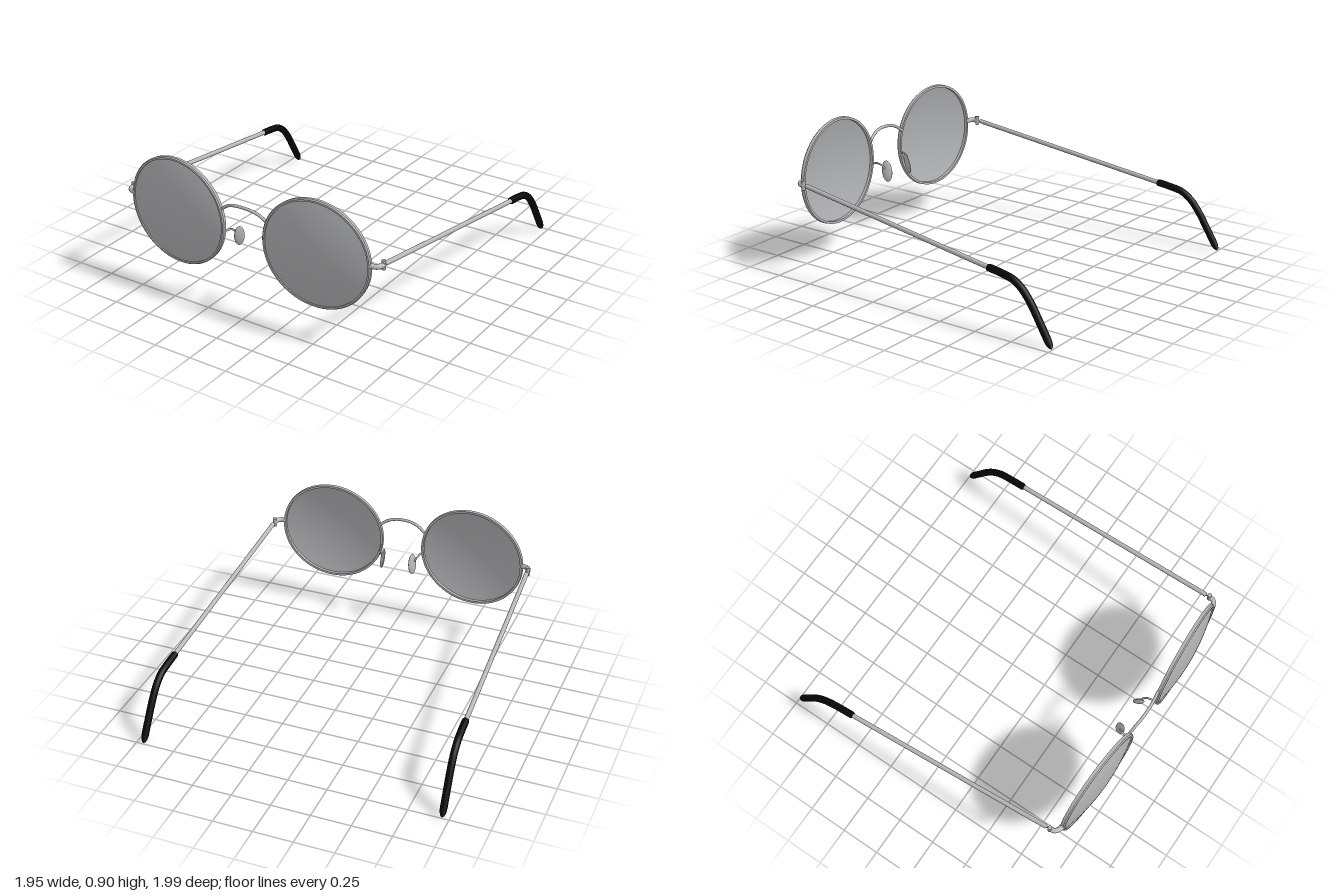
import * as THREE from 'three';
import { toCreasedNormals } from 'three/addons/utils/BufferGeometryUtils.js';

const V = (x, y, z) => new THREE.Vector3(x, y, z);

// Tube along smooth points whose radius is scaled by taper(t)
function taperedTube(points, radius, taper = () => 1, segments = 48, sides = 16) {
  const curve = new THREE.CatmullRomCurve3(points);
  const geo = new THREE.TubeGeometry(curve, segments, radius, sides, false);
  const pos = geo.attributes.position;
  const p = new THREE.Vector3();
  for (let i = 0; i <= segments; i++) {
    const centre = curve.getPointAt(i / segments);
    const k = taper(i / segments);
    for (let j = 0; j <= sides; j++) {
      const n = i * (sides + 1) + j;
      p.fromBufferAttribute(pos, n).sub(centre).multiplyScalar(k).add(centre);
      pos.setXYZ(n, p.x, p.y, p.z);
    }
  }
  return geo;
}

// Rounds both ends of a tube over the given fraction of its length
const roundEnds = (start, end) => (t) => {
  const a = Math.min(1, t / start), b = Math.min(1, (1 - t) / end);
  return Math.sqrt(Math.max(0, 1 - (1 - a) ** 2)) * Math.sqrt(Math.max(0, 1 - (1 - b) ** 2));
};

export function createModel() {
  const metal = new THREE.MeshStandardMaterial({ color: 0xb8b8b8, side: THREE.DoubleSide });
  metal.name = 'silver metal';
  const glass = new THREE.MeshStandardMaterial({ color: 0xb0b1b2, side: THREE.DoubleSide });
  glass.name = 'grey lens';
  const black = new THREE.MeshStandardMaterial({ color: 0x0a0505, side: THREE.DoubleSide });
  black.name = 'black tip';

  const model = new THREE.Group();
  model.name = 'roundSpectacles';
  const add = (parent, name, geo, mat) => {
    const mesh = new THREE.Mesh(geo, mat);
    mesh.name = name;
    parent.add(mesh);
    return mesh;
  };

  // Rim: a thin band with a bevelled front edge
  const rimProfile = [[0.352, -0.014], [0.354, 0.006], [0.348, 0.014], [0.337, 0.014],
    [0.337, -0.014], [0.352, -0.014]].map(([r, y]) => new THREE.Vector2(r, y));
  const rimGeo = toCreasedNormals(new THREE.LatheGeometry(rimProfile, 96).rotateX(Math.PI / 2), 0.5);

  // Lens: shallow dome bulging forward
  const a = 0.34, sag = 0.045, R = (a * a + sag * sag) / (2 * sag);
  const domeProfile = [];
  for (let i = 0; i <= 12; i++) {
    const r = a * (1 - i / 12);
    domeProfile.push(new THREE.Vector2(r, Math.sqrt(R * R - r * r) - R + sag + 0.005));
  }
  const lensGeo = new THREE.LatheGeometry(domeProfile, 96).rotateX(Math.PI / 2);

  for (const s of [1, -1]) {
    const side = s > 0 ? 'left' : 'right';

    const eye = new THREE.Group();
    eye.name = side + 'Eyepiece';
    eye.position.set(s * 0.488, 0.5625, 0.944);
    eye.rotation.y = s * 0.05;
    eye.scale.y = 0.965;
    model.add(eye);
    add(eye, side + 'Rim', rimGeo, metal);
    add(eye, side + 'Lens', lensGeo, glass);

    // End piece curling back to the hinge
    add(model, side + 'EndPiece', taperedTube([V(s * 0.832, 0.583, 0.926), V(s * 0.862, 0.583, 0.918),
      V(s * 0.882, 0.583, 0.9), V(s * 0.888, 0.583, 0.87)], 0.016), metal);
    const hinge = add(model, side + 'Hinge', new THREE.CylinderGeometry(0.013, 0.013, 0.058, 20), metal);
    hinge.position.set(s * 0.888, 0.583, 0.872);

    // Temple arm and its bent sleeve
    add(model, side + 'Temple', taperedTube([V(s * 0.888, 0.584, 0.86), V(s * 0.914, 0.485, 0.158),
      V(s * 0.94, 0.384, -0.56)], 0.0145, roundEnds(0.012, 0.005), 90), metal);
    add(model, side + 'TempleTip', taperedTube([V(s * 0.939, 0.387, -0.54), V(s * 0.943, 0.37, -0.66),
      V(s * 0.946, 0.354, -0.725), V(s * 0.948, 0.315, -0.785), V(s * 0.95, 0.25, -0.842),
      V(s * 0.953, 0.135, -0.915), V(s * 0.956, 0.004, -0.993)], 0.0225, roundEnds(0.03, 0.1), 72), black);

    // Nose pad on a curved wire
    add(model, side + 'PadWire', taperedTube([V(s * 0.146, 0.515, 0.955), V(s * 0.14, 0.525, 0.925),
      V(s * 0.13, 0.515, 0.89), V(s * 0.108, 0.48, 0.868)], 0.006, undefined, 24, 10), metal);
    const pad = add(model, side + 'NosePad', new THREE.SphereGeometry(1, 32, 20), metal);
    pad.position.set(s * 0.104, 0.471, 0.865);
    pad.rotation.set(0.15, s * 0.46, s * 0.1);
    pad.scale.set(0.013, 0.069, 0.034);
  }

  // Arched bridge between the rims
  add(model, 'bridge', taperedTube([V(-0.156, 0.672, 0.952), V(-0.11, 0.706, 0.96), V(-0.055, 0.724, 0.968),
    V(0, 0.728, 0.97), V(0.055, 0.724, 0.968), V(0.11, 0.706, 0.96), V(0.156, 0.672, 0.952)], 0.0095), metal);

  return model;
}
